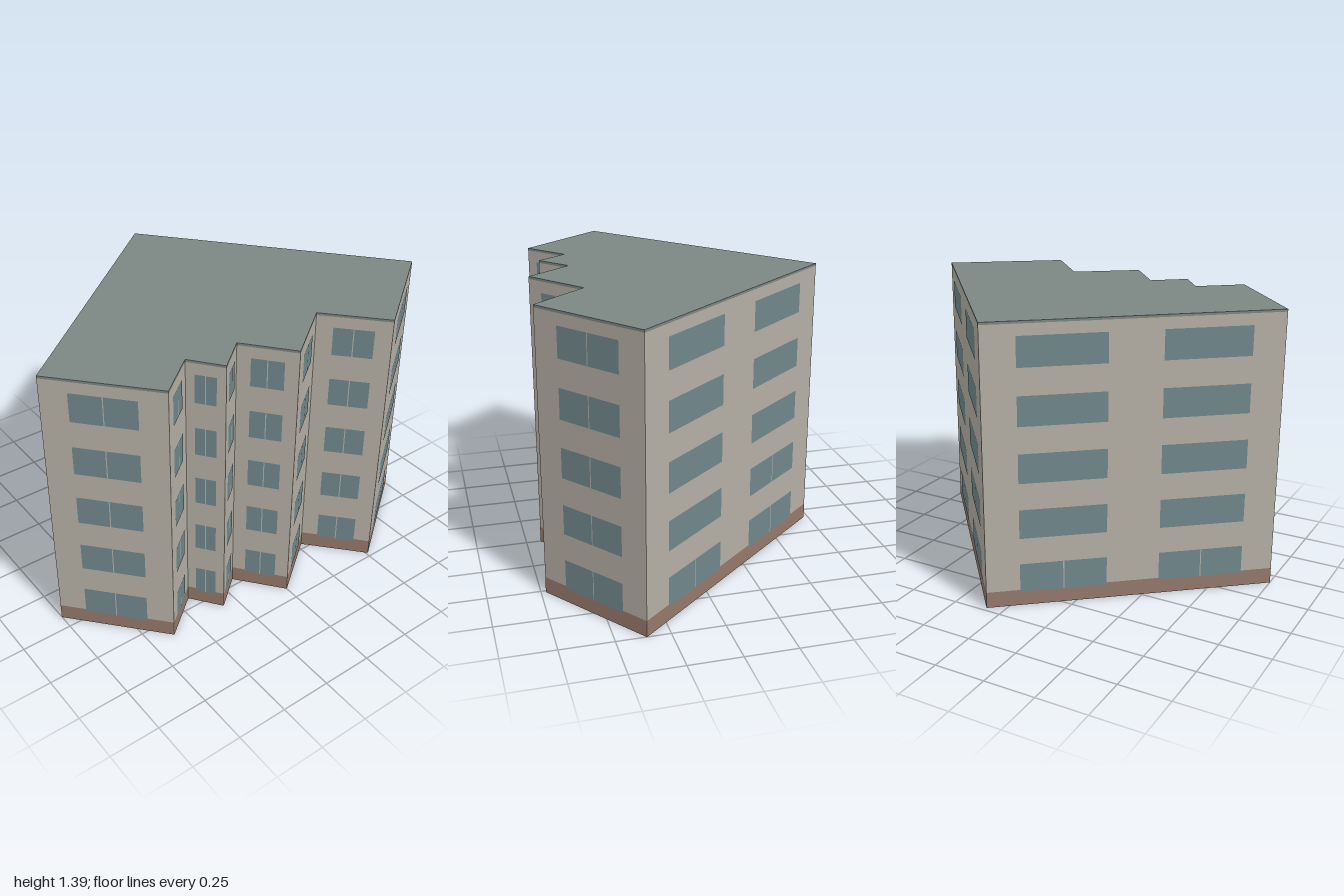
import * as THREE from 'three';

const HEIGHT = 1.386, ROOF = 0.012, BASE = 0.08;
const FLOORS = 5, SILL = 0.07, STOREY = 0.276, WIN_H = 0.145;

// Footprint corners [x, z], running along the stepped front and round the back
const CORNERS = [
  [-1, 0.174], [-0.63, 0.594], [-0.434, 0.436], [-0.325, 0.582], [-0.175, 0.459],
  [0, 0.677], [0.278, 0.466], [0.511, 0.727], [1, 0.36], [0.085, -0.727],
];

const paint = (color, side = THREE.FrontSide) =>
  new THREE.MeshStandardMaterial({ color, side });

export function createModel() {
  const model = new THREE.Group();
  model.name = 'apartmentBlock';

  const wallMat = paint(0xb5afa5, THREE.DoubleSide);
  const baseMat = paint(0x94786b);
  const glassMat = paint(0x70878c);
  const mullionMat = paint(0xb0b2ac);
  const roofMat = paint(0x7c8682, THREE.DoubleSide);

  // Flat rectangle in a facade's own frame: x along the wall, z outwards
  function panel(parent, name, mat, w, h, x, y, z) {
    const mesh = new THREE.Mesh(new THREE.PlaneGeometry(w, h), mat);
    mesh.name = name;
    mesh.position.set(x, y, z);
    parent.add(mesh);
  }

  CORNERS.forEach(([x0, z0], i) => {
    const [x1, z1] = CORNERS[(i + 1) % CORNERS.length];
    const length = Math.hypot(x1 - x0, z1 - z0);
    const facade = new THREE.Group();
    facade.name = `facade${i + 1}`;
    facade.position.set(x0, 0, z0);
    facade.rotation.y = Math.atan2(z0 - z1, x1 - x0);
    model.add(facade);

    // Wall and brick base course; the underside stays open
    const wallH = HEIGHT - ROOF;
    panel(facade, 'wall', wallMat, length, wallH, length / 2, wallH / 2, 0);
    panel(facade, 'baseCourse', baseMat, length, BASE, length / 2, BASE / 2, 0.001);

    // Front steps have one window column, the two long back walls have two
    const isBack = i >= 8;
    const columns = isBack ? [0.263, 0.741] : [0.5];
    const width = length * (isBack ? 0.296 : i === 7 ? 0.56 : 0.54);
    for (let floor = 0; floor < FLOORS; floor++) {
      const y = SILL + floor * STOREY + WIN_H / 2;
      columns.forEach((f, c) => {
        panel(facade, 'window', glassMat, width, WIN_H, f * length, y, 0.002);
        const split = !isBack || floor === 0 || (i === 8 && floor === 1 && c === 1);
        if (split) panel(facade, 'mullion', mullionMat, 0.005, WIN_H, f * length, y, 0.003);
      });
    }
  });

  // Flat roof slab following the footprint
  const outline = new THREE.Shape(CORNERS.map(([x, z]) => new THREE.Vector2(x, -z)));
  const slab = new THREE.ExtrudeGeometry(outline, { depth: ROOF, bevelEnabled: false });
  slab.rotateX(-Math.PI / 2);
  const roof = new THREE.Mesh(slab, roofMat);
  roof.name = 'roof';
  roof.position.y = HEIGHT - ROOF;
  model.add(roof);

  return model;
}
